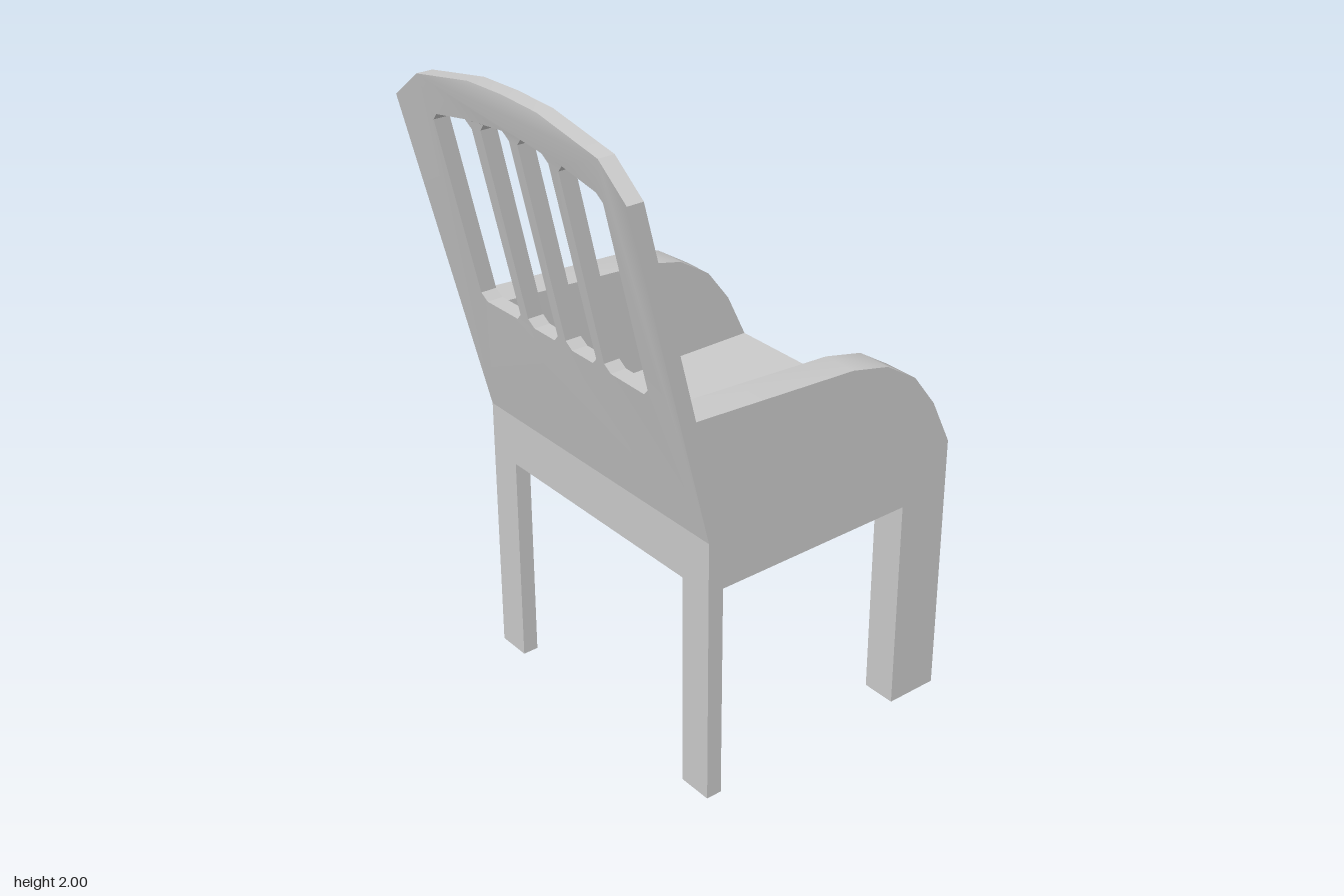
import * as THREE from 'three';
import { toCreasedNormals } from 'three/addons/utils/BufferGeometryUtils.js';

const grey = new THREE.MeshStandardMaterial({ color: 0xcccccc, side: THREE.DoubleSide });
const W = 0.505, IN = 0.395;          // half width outside / inside the arms
const REAR = -0.32, FRONT = 0.57;     // depth range of the body
const RAIL = 0.685, SEAT = 0.845;     // underside and top of the seat frame
const THICK = 0.05, LEAN = 0.255;     // backrest thickness and backward lean
const CREST = [[0, 2], [0.15, 1.995], [IN, 1.95], [W, 1.865]];

const shapeOf = (pts) => new THREE.Shape(pts.map(([x, y]) => new THREE.Vector2(x, y)));

function add(parent, name, geometry) {
  const mesh = new THREE.Mesh(geometry, grey);
  mesh.name = name;
  parent.add(mesh);
  return mesh;
}

// Box given by its minimum and maximum along each axis
function box(x0, x1, y0, y1, z0, z1) {
  return new THREE.BoxGeometry(x1 - x0, y1 - y0, z1 - z0)
    .translate((x0 + x1) / 2, (y0 + y1) / 2, (z0 + z1) / 2);
}

// Height of the arched crest at a distance from the middle
function crestHeight(z) {
  const a = Math.abs(z);
  for (let i = 1; i < CREST.length; i++) {
    const [z0, y0] = CREST[i - 1], [z1, y1] = CREST[i];
    if (a <= z1) return y0 + (y1 - y0) * (a - z0) / (z1 - z0);
  }
  return CREST[CREST.length - 1][1];
}

// Opening between slats with cut corners
function opening(side, z0, z1, yIn, yOut) {
  const y0 = 1.26, c = 0.022;
  const pts = [
    [z0 + c, y0], [z1 - c, y0], [z1, y0 + c], [z1 - 0.006, yOut - c],
    [z1 - c - 0.006, yOut], [z0 + c, yIn], [z0, yIn - c], [z0, y0 + c],
  ];
  return new THREE.Path(pts.map(([z, y]) => new THREE.Vector2(side * z, y)));
}

// Leaning backrest: flat arched panel with openings, then sheared backward
function backrestGeometry() {
  const right = CREST.slice(1).reverse().map(([z, y]) => [z, y]);
  const left = CREST.slice(1).map(([z, y]) => [-z, y]);
  const shape = shapeOf([[-W, SEAT], [W, SEAT], ...right, CREST[0], ...left]);
  for (const s of [-1, 1]) {
    shape.holes.push(opening(s, 0.018, 0.155, 1.888, 1.878));
    shape.holes.push(opening(s, 0.19, 0.378, 1.87, 1.845));
  }
  const geo = new THREE.ExtrudeGeometry(shape, { depth: THICK, bevelEnabled: false });
  geo.rotateY(Math.PI / 2);
  const p = geo.attributes.position;
  for (let i = 0; i < p.count; i++) {
    const t = (p.getY(i) - SEAT) / (crestHeight(p.getZ(i)) - SEAT);
    p.setX(i, p.getX(i) + REAR - LEAN * t);
  }
  return toCreasedNormals(geo, 0.4);
}

// Arm panel with a curved front, ending at the backrest
function armGeometry() {
  const shape = shapeOf([
    [REAR + THICK, RAIL], [FRONT, RAIL], [FRONT, SEAT], [0.5, 0.99], [0.42, 1.095],
    [0.31, 1.165], [0.18, 1.195], [-0.367, 1.225], [REAR + THICK, SEAT],
  ]);
  const geo = new THREE.ExtrudeGeometry(shape, { depth: W - IN, bevelEnabled: false });
  return toCreasedNormals(geo, 0.5);
}

// Hollow leg: a box without its bottom face
function legGeometry(x0, x1, z0, z1) {
  const geo = box(x0, x1, 0, RAIL, z0, z1);
  const index = Array.from(geo.index.array);
  index.splice(18, 6);
  geo.setIndex(index);
  return geo;
}

export function createModel() {
  const chair = new THREE.Group();
  chair.name = 'armchair';

  add(chair, 'backrest', backrestGeometry());

  // Seat board and the rails that carry it
  add(chair, 'seat', box(REAR + THICK, 0.4, SEAT - 0.06, SEAT, -IN, IN));
  add(chair, 'frontRail', box(0.4, FRONT, RAIL, SEAT, -IN, IN));
  add(chair, 'backRail', box(REAR, REAR + THICK, RAIL, SEAT, -W, W));

  // Arms and legs on both sides
  const arm = armGeometry();
  for (const s of [-1, 1]) {
    const z0 = s > 0 ? IN : -W, z1 = z0 + W - IN;
    add(chair, 'armPanel', arm).position.z = z0;
    add(chair, 'frontLeg', legGeometry(0.4, FRONT, z0, z1));
    add(chair, 'backLeg', legGeometry(REAR, REAR + THICK, z0, z1));
  }
  return chair;
}
